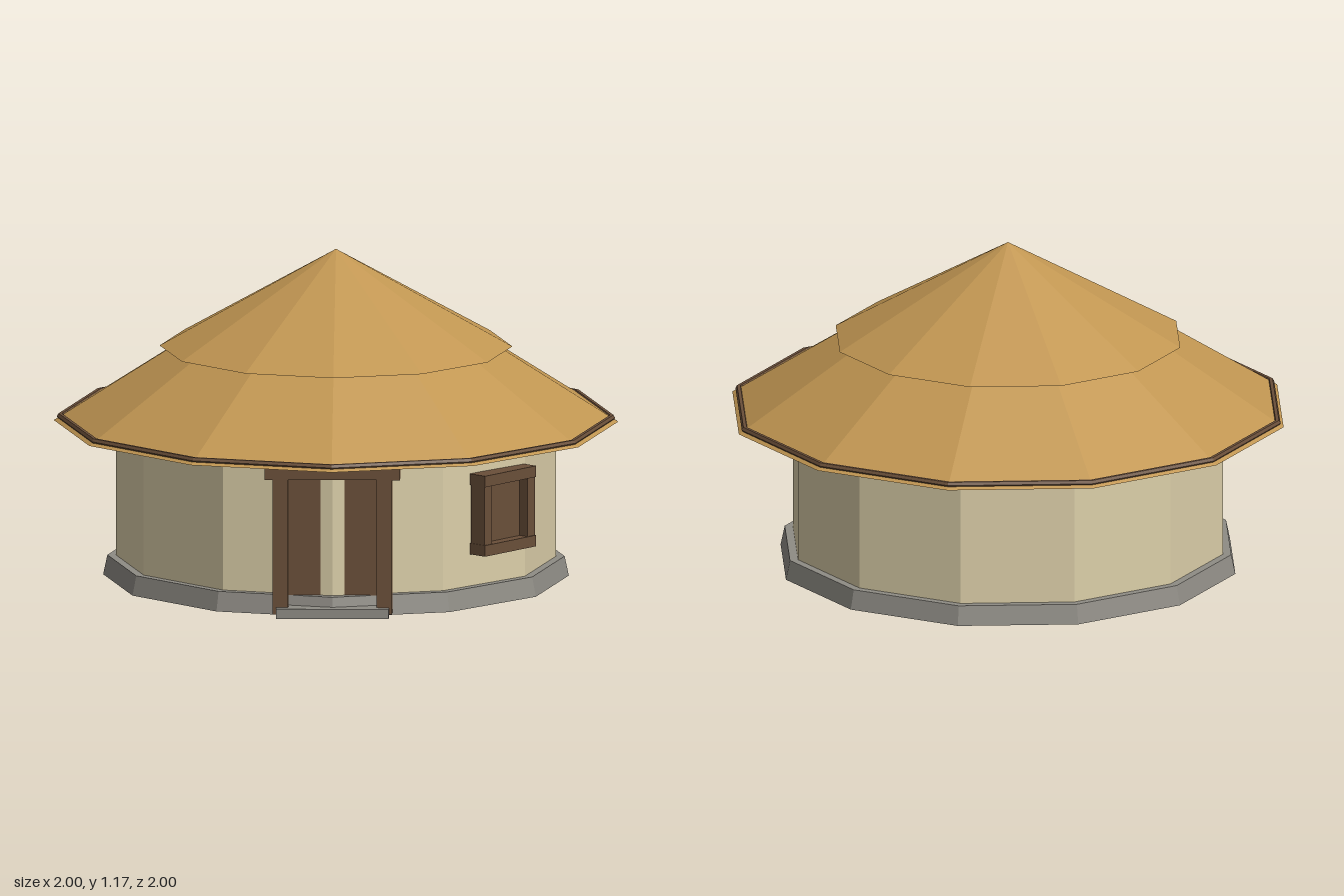
import * as THREE from 'three';

const SIDES = 12;

function material(name, color) {
  const m = new THREE.MeshStandardMaterial({ color });
  m.name = name;
  return m;
}

// Faceted mesh: every face gets its own flat normal
function part(parent, name, geometry, mat, x = 0, y = 0, z = 0) {
  const flat = geometry.index ? geometry.toNonIndexed() : geometry;
  flat.computeVertexNormals();
  const mesh = new THREE.Mesh(flat, mat);
  mesh.name = name;
  mesh.position.set(x, y, z);
  parent.add(mesh);
  return mesh;
}

// Twelve-sided drum or cone between two heights
function drum(rTop, rBottom, y0, y1, open = false) {
  return new THREE.CylinderGeometry(rTop, rBottom, y1 - y0, SIDES, 1, open).translate(0, (y0 + y1) / 2, 0);
}

export function createModel() {
  const hut = new THREE.Group();
  hut.name = 'roundHut';
  const thatch = material('thatch', 0xc19652);
  const plaster = material('plaster', 0xdccfa9);
  const stone = material('stone', 0x8f8c85);
  const wood = material('wood', 0x6a4f39);

  // Foundation and wall
  part(hut, 'foundation', drum(0.81, 0.825, 0, 0.07), stone);
  part(hut, 'wall', drum(0.78, 0.78, 0.07, 0.57, true), plaster);

  // Two-tier roof with a boarded underside and binding ring
  part(hut, 'lowerRoof', drum(0.5, 1, 0.555, 0.873, true), thatch);
  part(hut, 'upperRoof', drum(0, 0.625, 0.825, 1.175), thatch);
  part(hut, 'roofUnderside', new THREE.CircleGeometry(1, SIDES).rotateX(Math.PI / 2), wood, 0, 0.555, 0);
  part(hut, 'eaveRing', new THREE.TorusGeometry(0.977, 0.012, 6, SIDES).rotateX(Math.PI / 2), wood, 0, 0.569, 0);

  // Doorway: the wall corner shows between the two door leaves
  const door = new THREE.Group();
  door.name = 'doorway';
  hut.add(door);
  part(door, 'doorPanel', new THREE.BoxGeometry(0.32, 0.43, 0.05), wood, 0, 0.285, 0.7435);
  for (const side of [-1, 1]) {
    part(door, side > 0 ? 'leftDoorPost' : 'rightDoorPost',
      new THREE.BoxGeometry(0.055, 0.49, 0.08), wood, side * 0.184, 0.255, 0.782);
  }
  part(door, 'doorLintel', new THREE.BoxGeometry(0.48, 0.05, 0.08), wood, 0, 0.52, 0.785);
  part(door, 'doorStep', new THREE.BoxGeometry(0.4, 0.035, 0.14), stone, 0, 0.0175, 0.785);

  // Window with a recessed shutter
  const frame = new THREE.Group();
  frame.name = 'window';
  frame.position.set(0.6, 0.33, 0.508);
  frame.rotation.y = 0.86;
  hut.add(frame);
  part(frame, 'shutter', new THREE.BoxGeometry(0.21, 0.23, 0.04), wood, 0, 0, -0.025);
  for (const side of [-1, 1]) {
    part(frame, 'windowPost', new THREE.BoxGeometry(0.04, 0.22, 0.064), wood, side * 0.114, 0, 0);
    part(frame, side > 0 ? 'windowLintel' : 'windowSill',
      new THREE.BoxGeometry(0.272, 0.04, 0.072), wood, 0, side * 0.125, 0);
  }
  return hut;
}
